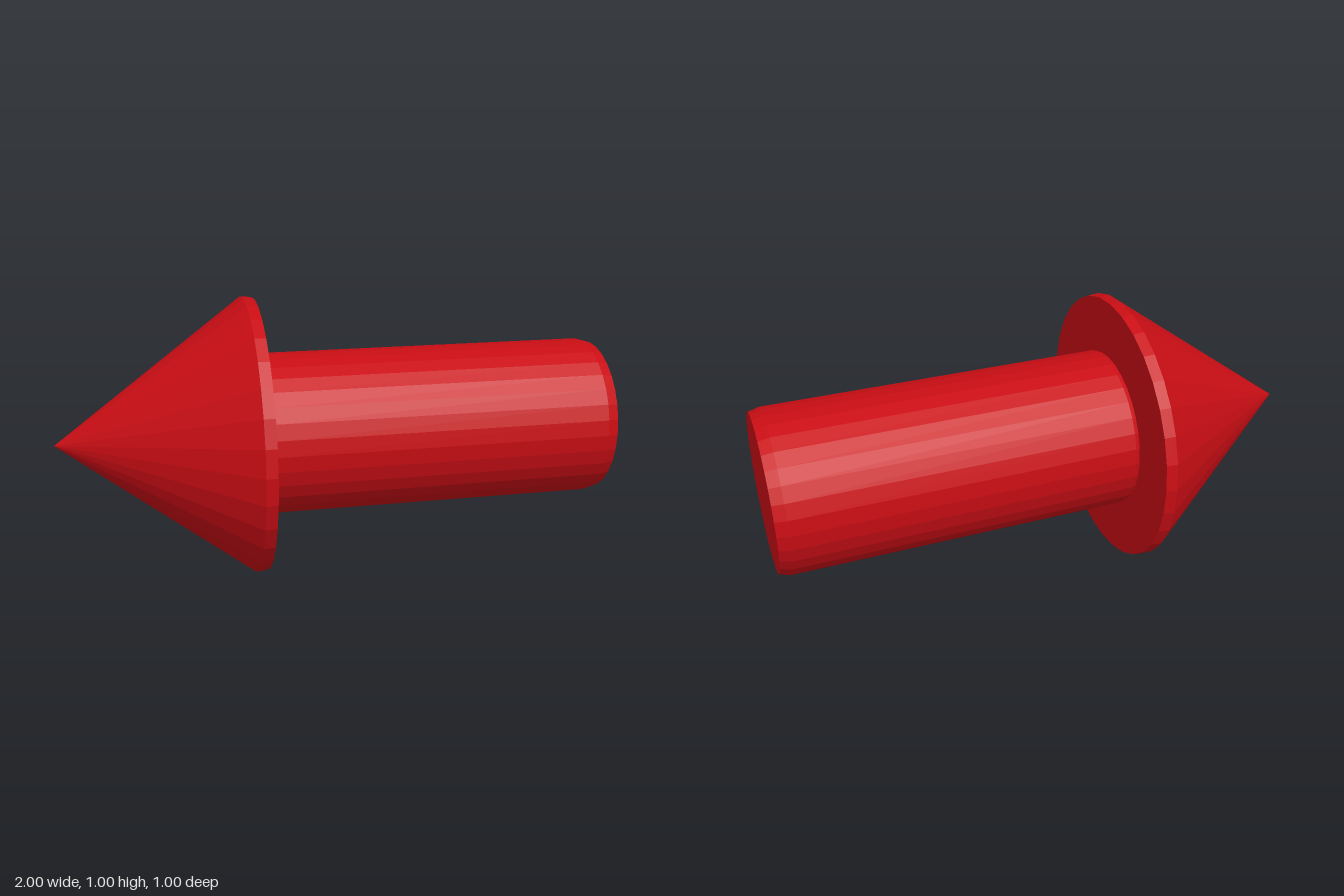
import * as THREE from 'three';

const SIDES = 32;
const AXIS_HEIGHT = 0.498;

// Turned part lying along x; profile points are [radius, x]
function turned(name, profile, material) {
  const points = profile.map(([r, x]) => new THREE.Vector2(r, x));
  const geometry = new THREE.LatheGeometry(points, SIDES);
  geometry.rotateZ(-Math.PI / 2);
  const mesh = new THREE.Mesh(geometry, material);
  mesh.name = name;
  mesh.position.y = AXIS_HEIGHT;
  return mesh;
}

export function createModel() {
  const model = new THREE.Group();
  model.name = 'arrow';
  const red = new THREE.MeshStandardMaterial({ color: 0xc80d14, flatShading: true });

  // Pointed head with a thin, slightly tapered rim and a flat back
  model.add(turned('arrowHead', [[0, -1], [0.498, -0.32], [0.494, -0.28], [0, -0.28]], red));

  // Round shaft, bevelled at both ends, its inner end sunk into the head
  model.add(turned('shaft', [
    [0, -0.305], [0.281, -0.305], [0.292, -0.265], [0.292, 0.96], [0.281, 1], [0, 1],
  ], red));

  return model;
}
